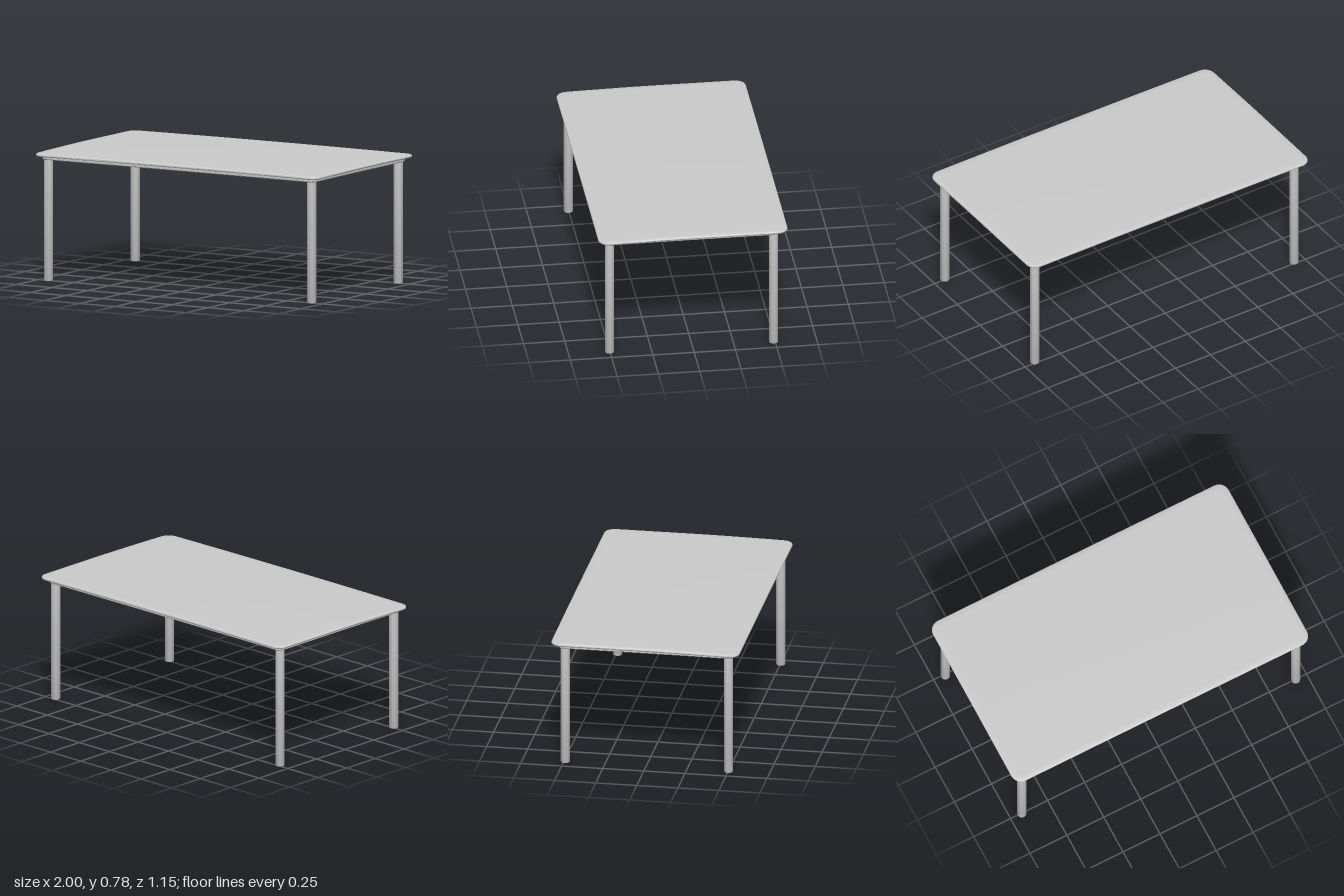
import * as THREE from 'three';
import { mergeVertices, toCreasedNormals } from 'three/addons/utils/BufferGeometryUtils.js';

const grey = new THREE.MeshStandardMaterial({ color: 0xcccccc });

// Closed rounded-rectangle loop in plan, with its straight sides subdivided
function outline(hx, hz, r) {
  const pts = [];
  const arc = 8, side = 12;
  for (let k = 0; k < 4; k++) {
    const centre = (q) => [[1, 1], [-1, 1], [-1, -1], [1, -1]][q % 4];
    const at = (q, angle) => {
      const [sx, sz] = centre(q);
      return [sx * (hx - r) + r * Math.cos(angle), sz * (hz - r) + r * Math.sin(angle)];
    };
    for (let i = 0; i <= arc; i++) pts.push(at(k, (k + i / arc) * Math.PI / 2));
    const a = pts[pts.length - 1];
    const b = at(k + 1, (k + 1) * Math.PI / 2);
    for (let i = 1; i < side; i++) {
      const t = i / side;
      pts.push([a[0] + (b[0] - a[0]) * t, a[1] + (b[1] - a[1]) * t]);
    }
  }
  return pts;
}

// Sweep a profile of [inset, y] around the loop; bend shifts the height
function sweep(hx, hz, r, profile, bend = () => 0) {
  const pos = [], index = [];
  let n = 0;
  for (const [d, y] of profile) {
    const loop = outline(hx - d, hz - d, Math.max(r - d, 0));
    n = loop.length;
    for (const [x, z] of loop) pos.push(x, y + bend(x, z), z);
  }
  for (let i = 0; i < profile.length - 1; i++) {
    for (let j = 0; j < n; j++) {
      const a = i * n + j, b = i * n + (j + 1) % n;
      index.push(a, b, a + n, b, b + n, a + n);
    }
  }
  let g = new THREE.BufferGeometry();
  g.setAttribute('position', new THREE.Float32BufferAttribute(pos, 3));
  g.setIndex(index);
  g = mergeVertices(g, 1e-5);
  return toCreasedNormals(g, 0.6);
}

export function createModel() {
  const table = new THREE.Group();
  table.name = 'table';
  const add = (geometry, name, x = 0, z = 0) => {
    const mesh = new THREE.Mesh(geometry, grey);
    mesh.name = name;
    mesh.position.set(x, 0, z);
    table.add(mesh);
  };

  // Thin top, gently bowed and dipping towards the front, with a rounded rim
  const hz = 0.573, top = 0.783, bottom = 0.766;
  const bow = (x, z) => -0.004 * x * x - (z > 0 ? 0.008 * (z / hz) ** 1.5 : 0);
  const rim = [];
  for (let i = 0; i <= 6; i++) {
    const a = Math.PI / 2 - (i / 6) * Math.PI;
    rim.push([0.008 * (1 - Math.cos(a)), (top + bottom) / 2 + Math.sin(a) * (top - bottom) / 2]);
  }
  const inner = [hz, 0.45, 0.33, 0.21, 0.1, 0.04];
  add(sweep(1, hz, 0.065, [
    ...inner.map((d) => [d, top]),
    ...rim,
    ...inner.slice().reverse().map((d) => [d, bottom]),
  ], bow), 'tableTop');

  // Bevelled rail frame under the top
  const w = 0.056, b = 0.005, lo = 0.739, hi = 0.766;
  add(sweep(0.963, 0.536, 0.04, [
    [b, hi], [0, hi - b], [0, lo + b], [b, lo],
    [w - b, lo], [w, lo + b], [w, hi - b], [w - b, hi], [b, hi],
  ], (x, z) => bow(x, z) * 0.4), 'railFrame', 0, 0.004);

  // Round legs with softened feet
  const legProfile = [[0, 0], [0.022, 0], [0.026, 0.002], [0.028, 0.007], [0.028, 0.755]]
    .map(([x, y]) => new THREE.Vector2(x, y));
  const leg = toCreasedNormals(new THREE.LatheGeometry(legProfile, 28), 0.6);
  for (const [sx, side] of [[1, 'Left'], [-1, 'Right']]) {
    add(leg, `front${side}Leg`, sx * 0.926, 0.503);
    add(leg, `back${side}Leg`, sx * 0.926, -0.49);
  }
  return table;
}
